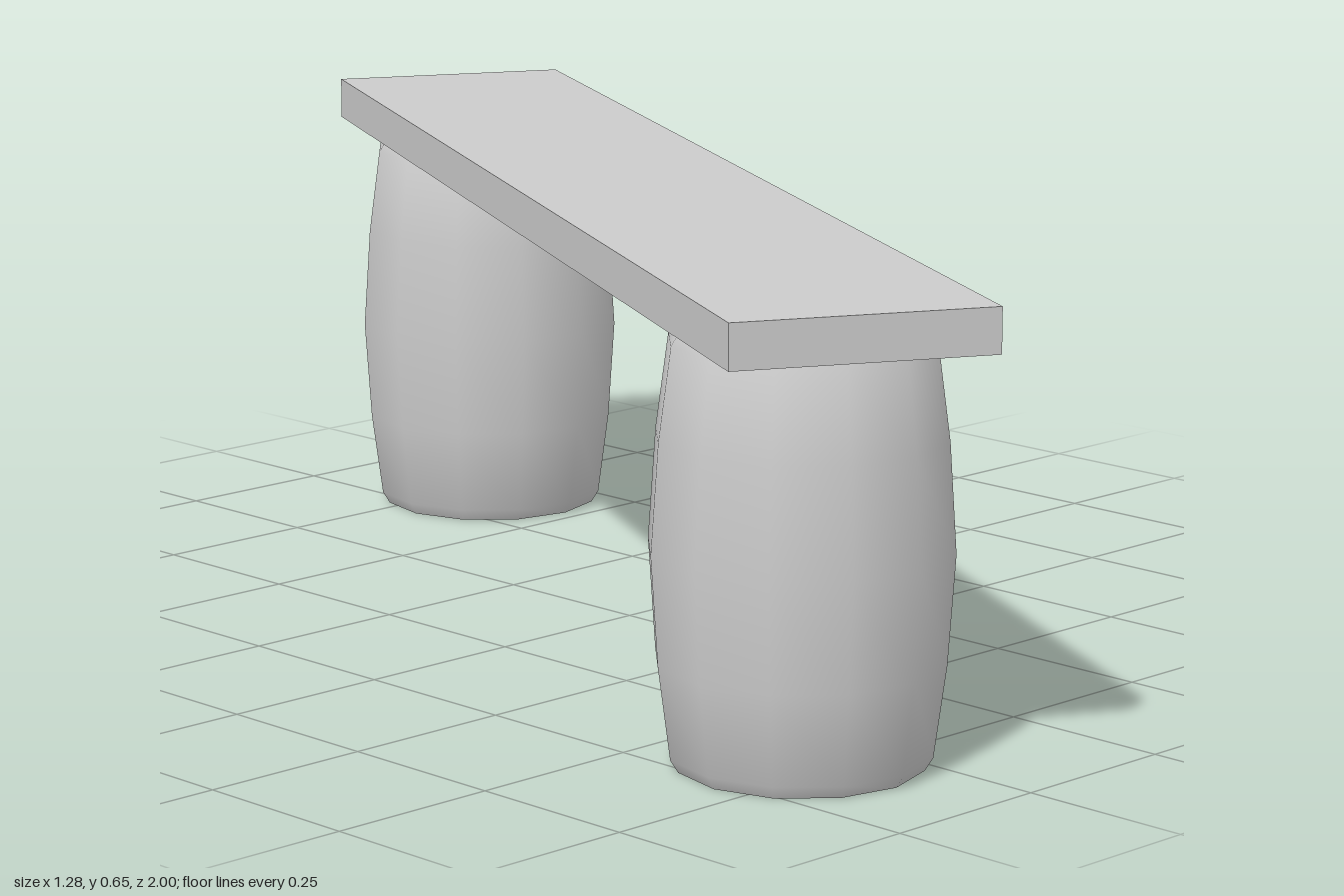
import * as THREE from 'three';
import { toCreasedNormals } from 'three/addons/utils/BufferGeometryUtils.js';

const SIDES = 12;
const HEIGHT = 0.59;

// Bulging barrel with a recessed disc at each end
function barrelGeometry() {
  const lower = [
    [0, 0.03], [0.146, 0.03], [0.15, 0], [0.168, 0],
    [0.179, 0.018], [0.196, 0.145],
  ];
  const upper = lower.map(([r, y]) => [r, HEIGHT - y]).reverse();
  const profile = [...lower, [0.206, HEIGHT / 2], ...upper]
    .map(([r, y]) => new THREE.Vector2(r, y));
  return toCreasedNormals(new THREE.LatheGeometry(profile, SIDES), 0.75);
}

export function createModel() {
  const model = new THREE.Group();
  model.name = 'barrelBench';
  const material = new THREE.MeshStandardMaterial({ color: 0xcccccc });

  // Plank seat
  const plank = new THREE.Mesh(new THREE.BoxGeometry(0.362, 0.062, 2.067), material);
  plank.name = 'plank';
  plank.position.y = HEIGHT + 0.031;
  model.add(plank);

  // Barrel supports near both ends
  const geometry = barrelGeometry();
  for (const [name, side] of [['frontBarrel', 1], ['backBarrel', -1]]) {
    const barrel = new THREE.Mesh(geometry, material);
    barrel.name = name;
    barrel.position.z = side * 0.785;
    model.add(barrel);
  }

  // The bench stands diagonally
  model.rotation.y = -0.483;
  return model;
}
